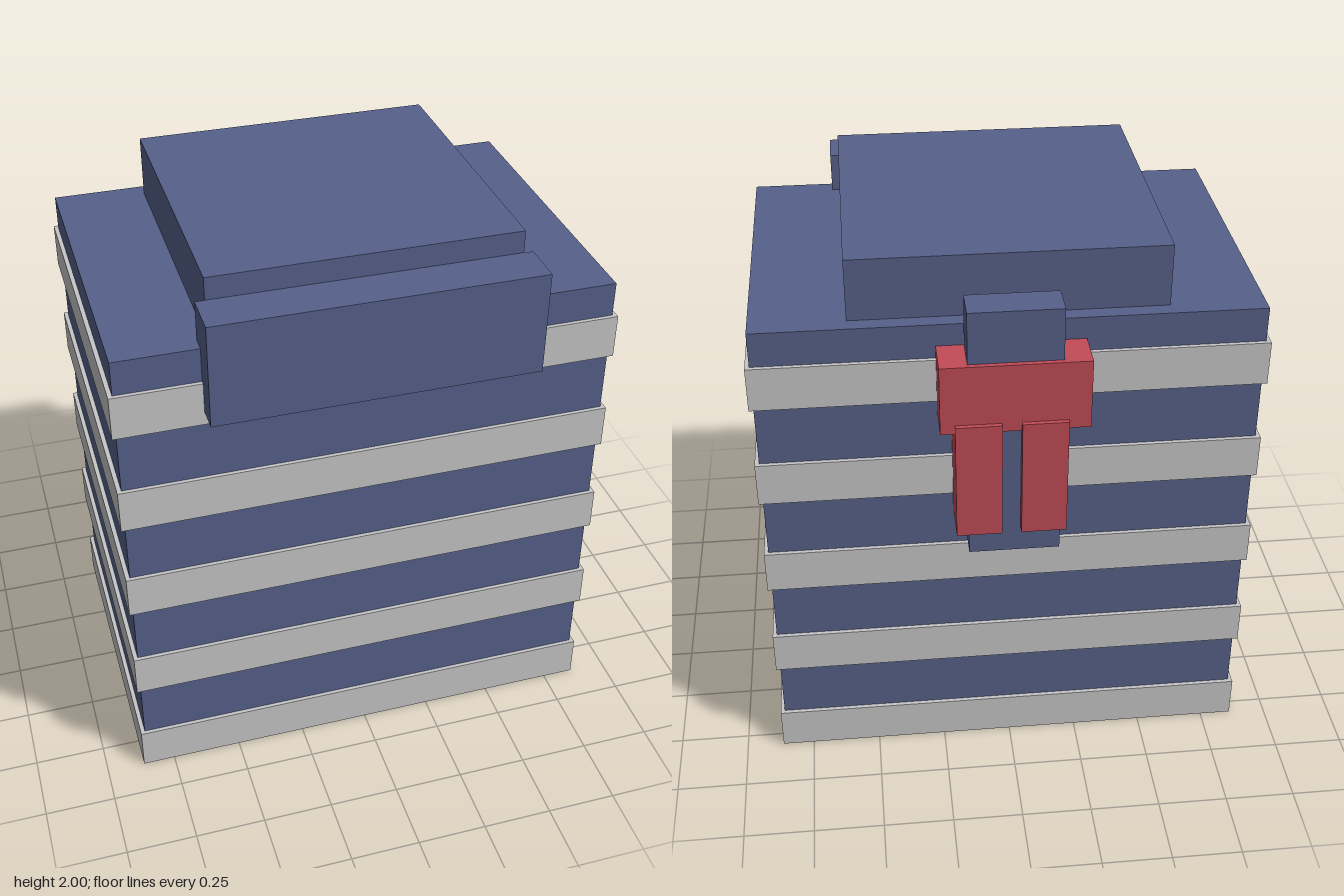
import * as THREE from 'three';

const material = (name, color) => {
  const m = new THREE.MeshStandardMaterial({ color });
  m.name = name;
  return m;
};

export function createModel() {
  const group = new THREE.Group();
  const blue = material('slate blue', 0x56618a);
  const grey = material('light grey', 0xc7c7c9);
  const red = material('red', 0xc24c56);

  // Box given by its [min, max] extents on each axis
  const box = (name, mat, [x0, x1], [y0, y1], [z0, z1]) => {
    const mesh = new THREE.Mesh(new THREE.BoxGeometry(x1 - x0, y1 - y0, z1 - z0), mat);
    mesh.position.set((x0 + x1) / 2, (y0 + y1) / 2, (z0 + z1) / 2);
    mesh.name = name;
    group.add(mesh);
  };

  // Main block with its floor bands
  box('buildingBody', blue, [-0.85, 0.85], [0.02, 1.783], [-0.54, 0.603]);
  for (let i = 0; i < 5; i++) {
    const y = i * 0.3758;
    box(`floorBand${i + 1}`, grey, [-0.865, 0.865], [y, y + 0.157], [-0.555, 0.617]);
  }

  // Roof storey and front sign board
  box('roofBlock', blue, [-0.531, 0.531], [1.783, 2], [-0.485, 0.547]);
  box('frontBoard', blue, [-0.563, 0.563], [1.551, 1.92], [0.547, 0.703]);

  // Rear emblem: blue post, red crossbar and two red legs
  box('rearPost', blue, [-0.156, 0.156], [0.957, 1.89], [-0.67, -0.548]);
  box('rearCrossbar', red, [-0.248, 0.248], [1.456, 1.705], [-0.687, -0.541]);
  box('rearLegRight', red, [-0.174, -0.02], [1.054, 1.488], [-0.703, -0.546]);
  box('rearLegLeft', red, [0.045, 0.2], [1.054, 1.488], [-0.703, -0.546]);

  return group;
}
